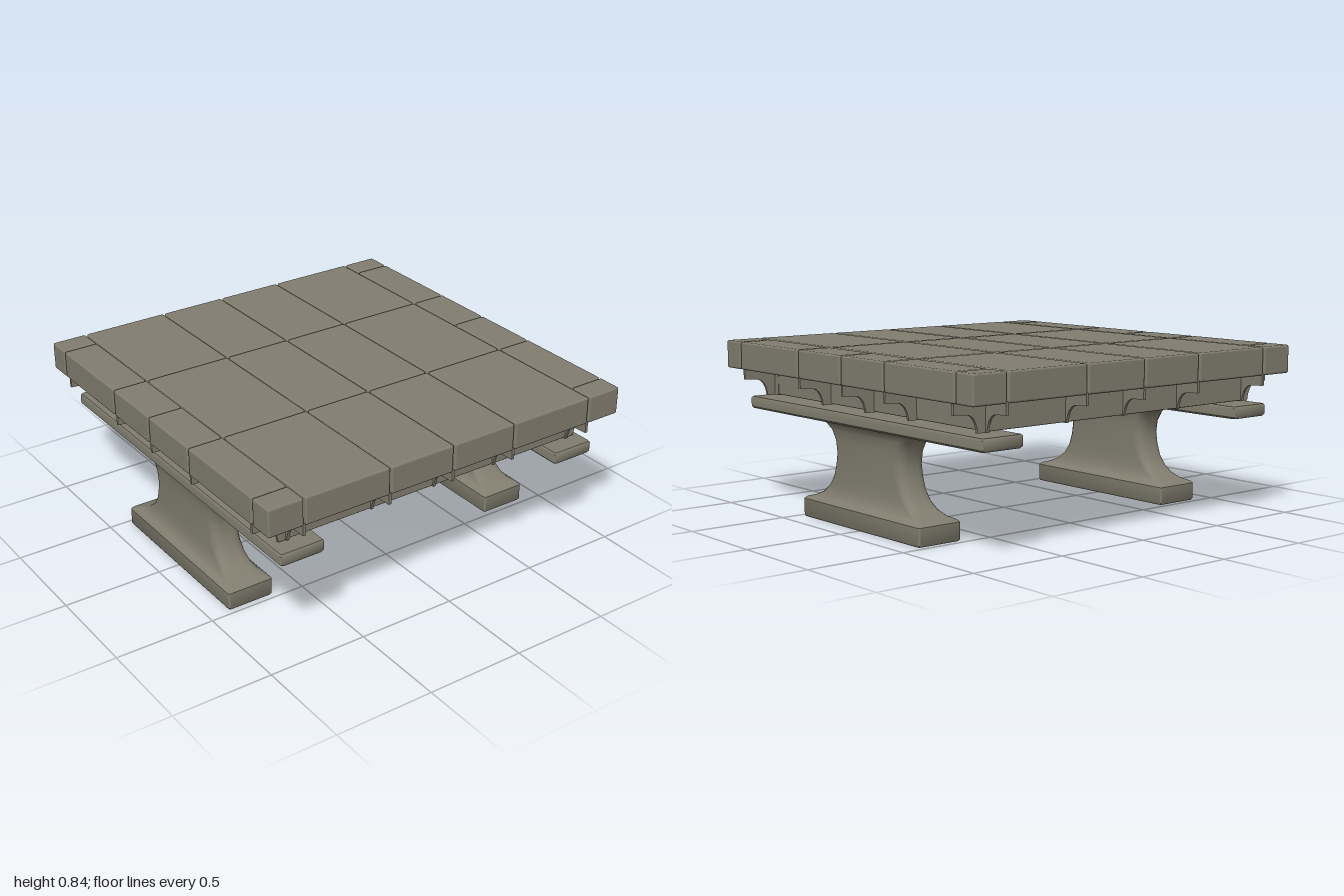
import * as THREE from 'three';
import { toCreasedNormals } from 'three/addons/utils/BufferGeometryUtils.js';
import { RoundedBoxGeometry } from 'three/addons/geometries/RoundedBoxGeometry.js';

const stone = new THREE.MeshStandardMaterial({ color: 0x817d6f });
stone.name = 'weathered stone';

function add(parent, name, geometry, x = 0, y = 0, z = 0) {
  const mesh = new THREE.Mesh(geometry, stone);
  mesh.name = name;
  mesh.position.set(x, y, z);
  parent.add(mesh);
  return mesh;
}

// Block spanning the given ranges, with slightly softened edges
function block(parent, name, x0, x1, y0, y1, z0, z1, r = 0.01) {
  return add(parent, name, new RoundedBoxGeometry(x1 - x0, y1 - y0, z1 - z0, 2, r),
    (x0 + x1) / 2, (y0 + y1) / 2, (z0 + z1) / 2);
}

// Stack of rounded rectangles [y, halfWidth, halfDepth, cornerRadius]
function loft(sections) {
  const pos = [], idx = [], steps = 4, n = 4 * (steps + 1);
  for (const [y, hx, hz, r] of sections) {
    for (let c = 0; c < 4; c++) {
      const sx = c === 0 || c === 3 ? 1 : -1, sz = c < 2 ? 1 : -1;
      for (let i = 0; i <= steps; i++) {
        const a = (c + i / steps) * Math.PI / 2;
        pos.push(sx * (hx - r) + r * Math.cos(a), y, sz * (hz - r) + r * Math.sin(a));
      }
    }
  }
  for (let s = 0; s < sections.length - 1; s++) {
    for (let i = 0; i < n; i++) {
      const a = s * n + i, b = s * n + (i + 1) % n;
      idx.push(a, a + n, b, b, a + n, b + n);
    }
  }
  const top = (sections.length - 1) * n;
  for (let i = 1; i < n - 1; i++) idx.push(0, i, i + 1, top, top + i + 1, top + i);
  const g = new THREE.BufferGeometry();
  g.setAttribute('position', new THREE.Float32BufferAttribute(pos, 3));
  g.setIndex(idx);
  return toCreasedNormals(g, 0.7);
}

export function createModel() {
  const table = new THREE.Group();
  table.name = 'stoneTable';

  // Tabletop slabs: wide middle columns and narrow side borders
  const gap = 0.004;
  const columns = [-0.815, -0.36, -0.005, 0.35, 0.81];
  const rows = [-1, -0.36, 0.34, 1];
  const sideRows = [-1, -0.875, -0.36, -0.02, 0.34, 0.87, 1];
  const top = new THREE.Group();
  top.name = 'tabletop';
  table.add(top);
  const tile = (name, x0, x1, z0, z1) => block(top, name,
    x0 === -1 ? x0 : x0 + gap, x1 === 1 ? x1 : x1 - gap, 0.702, 0.842,
    z0 === -1 ? z0 : z0 + gap, z1 === 1 ? z1 : z1 - gap);
  for (let c = 0; c < columns.length - 1; c++)
    for (let r = 0; r < rows.length - 1; r++)
      tile('topSlab', columns[c], columns[c + 1], rows[r], rows[r + 1]);
  for (let r = 0; r < sideRows.length - 1; r++) {
    tile('borderSlab', -1, columns[0], sideRows[r], sideRows[r + 1]);
    tile('borderSlab', columns[4], 1, sideRows[r], sideRows[r + 1]);
  }

  // Under-slab in two panels, with small studs beneath
  block(table, 'underPanel', -0.815, 0.815, 0.566, 0.69, -0.86, -0.002, 0.006);
  block(table, 'underPanel', -0.815, 0.815, 0.566, 0.69, 0.002, 0.86, 0.006);
  for (const x of [-0.34, -0.005, 0.33])
    for (const z of [-0.52, 0.51])
      add(table, 'stud', new THREE.CylinderGeometry(0.02, 0.016, 0.016, 16), x, 0.56, z);

  // Thin curved brackets around the rim
  const profile = new THREE.Shape();
  profile.moveTo(0, 0.563);
  profile.lineTo(0.055, 0.563);
  profile.bezierCurveTo(0.06, 0.61, 0.08, 0.648, 0.12, 0.648);
  profile.lineTo(0.185, 0.652);
  profile.lineTo(0.185, 0.71);
  profile.lineTo(0, 0.71);
  const thick = 0.014;
  const bracketGeo = new THREE.ExtrudeGeometry(profile, { depth: thick, bevelEnabled: false, curveSegments: 8 });
  bracketGeo.translate(0, 0, -thick / 2);
  const bracket = (x, z, turn) => {
    add(table, 'rimBracket', bracketGeo, x, 0, z).rotation.y = turn;
  };
  for (const z of [-0.85, -0.355, -0.02, 0.34, 0.85]) {
    bracket(0.805, z, 0);
    bracket(-0.805, z, Math.PI);
  }
  for (const x of [-0.815, -0.36, -0.005, 0.35, 0.81]) {
    bracket(x, 0.81, -Math.PI / 2);
    bracket(x, -0.81, Math.PI / 2);
  }

  // Pedestals: foot flaring into a waisted neck, under a long bearer
  const pedestal = loft([
    [0, 0.116, 0.47, 0.012], [0.008, 0.121, 0.475, 0.012],
    [0.09, 0.121, 0.475, 0.012], [0.1, 0.112, 0.465, 0.014],
    [0.112, 0.092, 0.425, 0.025], [0.135, 0.082, 0.375, 0.035],
    [0.17, 0.078, 0.335, 0.045], [0.22, 0.077, 0.3, 0.05],
    [0.28, 0.077, 0.28, 0.05], [0.34, 0.077, 0.27, 0.05],
    [0.4, 0.077, 0.28, 0.05], [0.45, 0.079, 0.305, 0.045],
    [0.48, 0.088, 0.335, 0.04], [0.5, 0.108, 0.37, 0.03],
  ]);
  const bearer = loft([
    [0.492, 0.106, 0.935, 0.012], [0.502, 0.116, 0.941, 0.012],
    [0.545, 0.116, 0.941, 0.012], [0.553, 0.11, 0.936, 0.012],
  ]);
  for (const side of [-1, 1]) {
    add(table, 'pedestal', pedestal, side * 0.772);
    add(table, 'bearer', bearer, side * 0.787);
  }
  return table;
}
